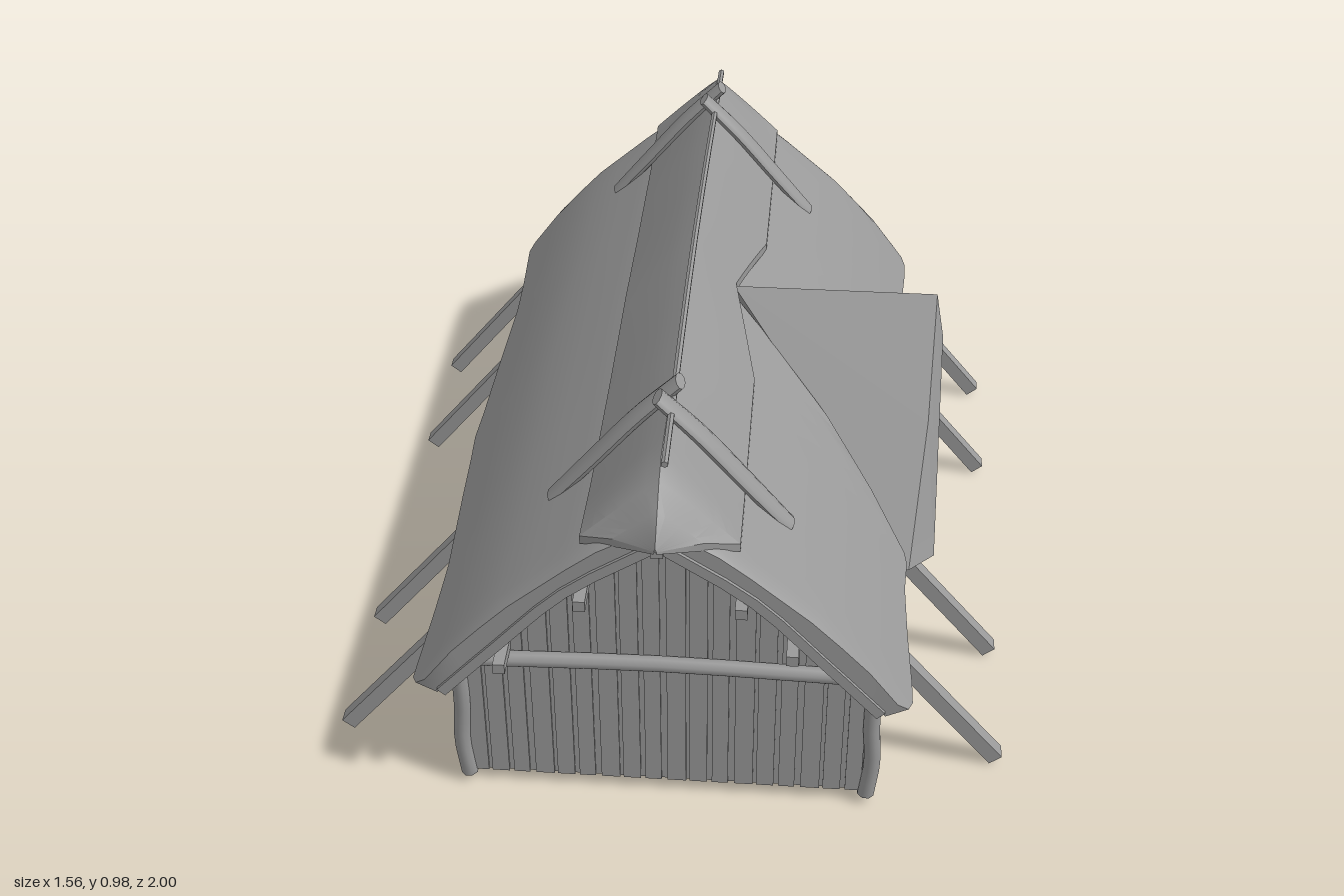
import * as THREE from 'three';
import { toCreasedNormals } from 'three/addons/utils/BufferGeometryUtils.js';

const V = (x, y, z) => new THREE.Vector3(x, y, z);
const mat = new THREE.MeshStandardMaterial({ color: 0x999999, side: THREE.DoubleSide });
const { lerp, clamp } = THREE.MathUtils;

// linear interpolation through [t, value] pairs
function along(pairs, t) {
  let i = 1;
  while (i < pairs.length - 1 && t > pairs[i][0]) i++;
  const [a, va] = pairs[i - 1], [b, vb] = pairs[i];
  return lerp(va, vb, clamp((t - a) / (b - a), 0, 1));
}

function add(group, name, geo) {
  const m = new THREE.Mesh(geo, mat);
  m.name = name;
  group.add(m);
  return m;
}

// closed solid through rings with an even number of points; ends closed in strips
function loft(rings, crease = 0.6) {
  const n = rings[0].length, tri = [];
  const quad = (a, b, c, d) => tri.push([a, b, c], [a, c, d]);
  for (let r = 0; r + 1 < rings.length; r++)
    for (let j = 0; j < n; j++) {
      const k = (j + 1) % n;
      quad(rings[r][j], rings[r][k], rings[r + 1][k], rings[r + 1][j]);
    }
  const first = rings[0], last = rings[rings.length - 1];
  for (let j = 0; j < n / 2 - 1; j++) {
    quad(first[j + 1], first[j], first[n - 1 - j], first[n - 2 - j]);
    quad(last[j], last[j + 1], last[n - 2 - j], last[n - 1 - j]);
  }
  // turn the faces outwards
  const volume = tri.reduce((s, [a, b, c]) => s + a.dot(V(0, 0, 0).crossVectors(b, c)), 0);
  const pos = tri.flatMap(([a, b, c]) => (volume < 0 ? [a, c, b] : [a, b, c]).flatMap(p => p.toArray()));
  const g = new THREE.BufferGeometry();
  g.setAttribute('position', new THREE.Float32BufferAttribute(pos, 3));
  return toCreasedNormals(g, crease);
}

// timber along points; sides = 4 gives a squared beam, u/w are half sizes
function timber(pts, u, w = u, sides = 8, steps = 1, bulge = 0) {
  const curve = new THREE.CatmullRomCurve3(pts), rings = [];
  const k = sides === 4 ? Math.SQRT2 : 1;
  for (let i = 0; i <= steps; i++) {
    const c = curve.getPoint(i / steps), t = curve.getTangent(i / steps);
    const ref = Math.abs(t.z) > 0.9 ? V(0, 1, 0) : V(0, 0, 1);
    const side = V(0, 0, 0).crossVectors(t, ref).normalize();
    const up = V(0, 0, 0).crossVectors(side, t);
    const s = k * (1 + bulge * (Math.sin(Math.PI * i / steps) - 1));
    rings.push(Array.from({ length: sides }, (_, j) => {
      const a = (j + 0.5) / sides * Math.PI * 2;
      return c.clone().addScaledVector(side, Math.cos(a) * u * s).addScaledVector(up, Math.sin(a) * w * s);
    }));
  }
  return loft(rings, sides === 4 ? 0.3 : 0.9);
}

// roof slopes as height over distance from the ridge
const outer = [[0, 0.84], [0.1, 0.795], [0.17, 0.742], [0.34, 0.595], [0.45, 0.475], [0.56, 0.325]];
const inner = [[0, 0.8], [0.2, 0.655], [0.35, 0.495], [0.49, 0.338]];
// distance of the eaves along the house, rounded in at the corners
const eaves = [[0, 0.565], [0.25, 0.553], [0.55, 0.535], [0.7, 0.54], [0.9, 0.553], [0.93, 0.54], [0.945, 0.515]];

// one thatched slope; the right one is cut back along the dormer valleys
function slope(side) {
  const zs = [-0.945, -0.93, -0.9];
  for (let z = -0.84; z < 0.85; z += 0.03) zs.push(z);
  zs.push(0.9, 0.93, 0.945);
  return loft(zs.map(z => {
    const a = Math.abs(z), drop = a > 0.94 ? 0.012 : a > 0.92 ? 0.004 : 0;
    let xo = along(eaves, a), xi = 0.49;
    if (side > 0) {
      xo = Math.min(xo, along([[0, 0.1], [0.2, 0.33], [0.43, 0.545], [0.6, 0.55]], a));
      xi = along([[0, 0.13], [0.3, 0.49]], a);
    }
    const line = (edge, prof, down) => Array.from({ length: 9 }, (_, i) => {
      const x = edge * i / 8;
      return V(side * x, along(prof, x) - down, z);
    });
    return [...line(xo, outer, drop), ...line(xi, inner, 0).reverse()];
  }), 0.7);
}

// ridge cap with hipped, drooping points at both ends
function ridgeCap() {
  const zs = [-1, -0.945, -0.9];
  for (let z = -0.84; z < 0.85; z += 0.06) zs.push(z);
  zs.push(0.9, 0.945, 1);
  return loft(zs.map(z => {
    const a = Math.abs(z);
    const w = along([[0, 0.165], [0.9, 0.168], [1, 0.003]], a);
    const top = along([[0, 0.952], [0.5, 0.938], [0.84, 0.945], [0.9, 0.918], [1, 0.825]], a);
    const low = along([[0, 0.775], [0.3, 0.76], [0.7, 0.752], [0.9, 0.766], [0.945, 0.8], [1, 0.817]], a);
    const line = down => Array.from({ length: 13 }, (_, i) => {
      const s = (i - 6) / 6, u = Math.abs(s);
      const notch = s > 0 ? clamp(1 - a / 0.3, 0, 1) : 0;
      const edge = lerp(low, 0.828, notch);
      return V(s * lerp(w, 0.105, notch), lerp(top, edge, Math.pow(u, 1.08)) - down, z);
    });
    return [...line(0), ...line(a > 0.99 ? 0.006 : 0.02).reverse()];
  }), 0.5);
}

// upright boards with recessed strips between them, tops and feet following functions
function boards(half, count, top, foot) {
  const g = new THREE.Group(), w = 2 * half / count;
  const plank = (name, a, b, z) => {
    const f = foot((a + b) / 2);
    const shape = new THREE.Shape([[a, f], [b, f], [b, top(b)], [a, top(a)]].map(p => new THREE.Vector2(...p)));
    add(g, name, new THREE.ExtrudeGeometry(shape, { depth: 0.014, bevelEnabled: false })).position.z = z;
  };
  for (let i = 0; i < count; i++) {
    const a = -half + i * w, split = a + w - 0.008 - 0.003 * ((i * 7) % 3);
    plank('board', a, split, -0.014);
    plank('strip', split, a + w, -0.02);
  }
  return g;
}

export function createModel() {
  const house = new THREE.Group();
  house.name = 'thatchedLonghouse';

  // thatch
  add(house, 'leftSlope', slope(1));
  add(house, 'rightSlope', slope(-1));
  add(house, 'ridgeCap', ridgeCap());
  add(house, 'ridgePole', timber([V(0.01, 0.945, -0.89), V(0.005, 0.957, 0), V(0.01, 0.948, 0.88)], 0.008, 0.008, 6, 8));

  // dormer roof over the door
  for (const s of [1, -1]) {
    add(house, 'dormerSlope', loft([
      [V(0.1, 0.82, 0), V(0.59, 0.82, 0), V(0.612, 0.7, 0), V(0.14, 0.7, 0)],
      [V(0.325, 0.585, s * 0.2), V(0.58, 0.585, s * 0.2), V(0.612, 0.49, s * 0.165), V(0.32, 0.49, s * 0.165)],
      [V(0.525, 0.315, s * 0.43), V(0.548, 0.315, s * 0.43), V(0.612, 0.28, s * 0.33), V(0.49, 0.28, s * 0.33)],
    ], 0.2));
  }

  // crossed weights over the ridge
  for (const [z, s] of [[0.69, 1], [0.63, -1], [-0.66, 1], [-0.73, -1]]) {
    const path = [[-0.022, 0.98], [0.07, 0.885], [0.17, 0.765], [0.265, 0.652]];
    add(house, 'ridgeWeight', timber(path.map(([x, y]) => V(s * x, y, z)), 0.017, 0.032, 10, 10, 0.15));
  }

  // boarded walls, set slightly towards the door side
  const base = () => 0.04;
  for (const s of [1, -1]) {
    const gable = boards(0.455, 18, x => along(inner, Math.abs(s * x + 0.01)) + 0.015, base);
    gable.name = 'gableWall';
    gable.position.set(0.01, 0, s * 0.885);
    if (s < 0) gable.rotation.y = Math.PI;
    house.add(gable);

    const side = s > 0
      ? boards(0.88, 32, z => Math.max(0.36, 0.71 - 1.27 * Math.abs(z)), z => (Math.abs(z) < 0.108 ? 0.49 : 0.04))
      : boards(0.88, 32, () => 0.37, base);
    side.name = s > 0 ? 'doorWall' : 'plainWall';
    side.position.x = s > 0 ? 0.465 : -0.445;
    side.rotation.y = s * Math.PI / 2;
    house.add(side);
  }

  // gable timbers and corner posts
  for (const s of [1, -1]) {
    add(house, 'gableBeam', timber([V(-0.42, 0.405, s * 0.9), V(0, 0.415, s * 0.9), V(0.42, 0.405, s * 0.9)], 0.019, 0.019, 8, 6));
    for (const t of [1, -1]) {
      add(house, 'cornerPost', timber([[0.455, 0.03], [0.465, 0.14], [0.458, 0.25], [0.462, 0.39]]
        .map(([x, y]) => V(t * x + 0.007, y, s * 0.88)), 0.02, 0.02, 8, 8));
      add(house, 'gableRafter', timber([[0, 0.79], [0.2, 0.65], [0.35, 0.49], [0.48, 0.345]]
        .map(([x, y]) => V(t * x, y, s * 0.94)), 0.012, 0.013, 4, 9));
    }
  }

  // purlins running through both gables
  for (const [x, y] of [[0, 0.788], [-0.165, 0.632], [0.175, 0.632], [0.285, 0.508], [-0.345, 0.44]]) {
    const p = add(house, 'purlin', new THREE.BoxGeometry(0.026, 0.026, 1.94));
    p.position.set(x, y, 0);
  }

  // slanting props along both sides
  for (const z of [0.73, 0.365, -0.375, -0.745])
    for (const s of [1, -1])
      add(house, 'prop', timber([V(s * 0.764, 0.02, z), V(s * 0.475, 0.37, z)], 0.018, 0.018, 4));

  // door frame with sill, lintel and the log above
  const frame = (name, y, z, h, d) =>
    add(house, name, new THREE.BoxGeometry(0.045, h, d)).position.set(0.465, y, z);
  frame('doorSill', 0.043, 0, 0.032, 0.25);
  frame('doorLintel', 0.475, 0, 0.03, 0.23);
  for (const s of [1, -1]) frame('doorJamb', 0.26, s * 0.105, 0.44, 0.026);
  add(house, 'dormerBeam', timber([V(0.485, 0.505, -0.185), V(0.485, 0.51, 0), V(0.485, 0.505, 0.185)], 0.018, 0.018, 8, 6));
  return house;
}
